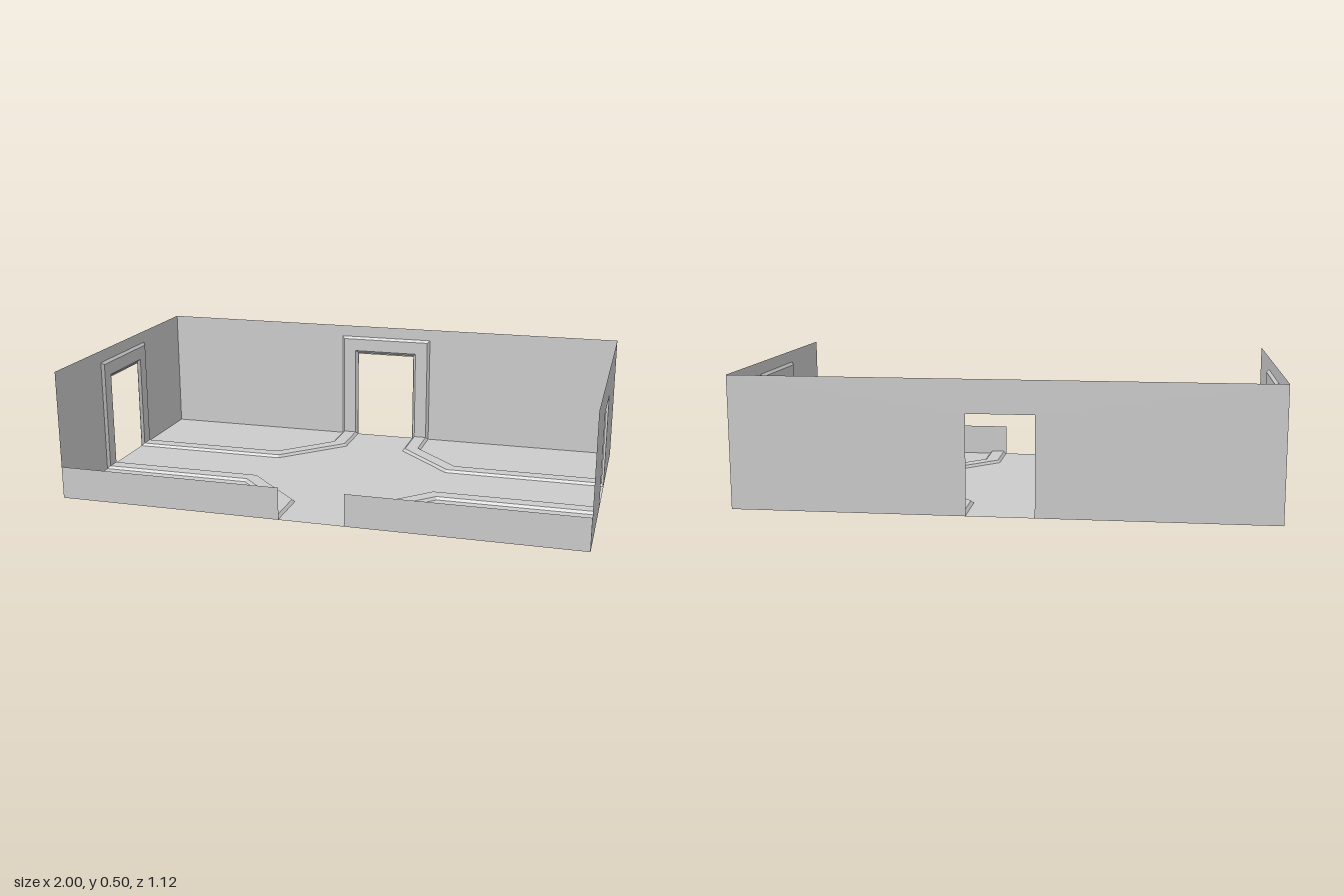
import * as THREE from 'three';

const X = 1, Z = 0.56, WALL = 0.5, LOW = 0.125, DOOR_W = 0.125, DOOR_H = 0.375;
const material = new THREE.MeshStandardMaterial({ color: 0xcccccc, flatShading: true, side: THREE.DoubleSide });

function mesh(name, geometry) {
  const m = new THREE.Mesh(geometry, material);
  m.name = name;
  return m;
}

// Flat wall with a doorway cut up from the floor
function doorWall(half) {
  const s = new THREE.Shape([
    [-half, 0], [-DOOR_W, 0], [-DOOR_W, DOOR_H], [DOOR_W, DOOR_H],
    [DOOR_W, 0], [half, 0], [half, WALL], [-half, WALL],
  ].map(([x, y]) => new THREE.Vector2(x, y)));
  return new THREE.ShapeGeometry(s);
}

// Bevelled moulding swept along a 2D path with mitred corners, spreading to the path's left
function moulding(path) {
  const profile = [[0, 0], [0.01, 0.01], [0.062, 0.01], [0.072, 0]];
  const pts = path.map(([x, y]) => new THREE.Vector2(x, y));
  const normals = pts.slice(1).map((p, i) => {
    const d = p.clone().sub(pts[i]).normalize();
    return new THREE.Vector2(-d.y, d.x);
  });
  const position = [], index = [], n = profile.length;
  pts.forEach((p, i) => {
    const a = normals[Math.max(i - 1, 0)], b = normals[Math.min(i, normals.length - 1)];
    const miter = a.clone().add(b).divideScalar(1 + a.dot(b));
    for (const [offset, height] of profile) {
      position.push(p.x + miter.x * offset, p.y + miter.y * offset, height);
    }
    if (i === 0) return;
    for (let j = 0; j < n - 1; j++) {
      const q = (i - 1) * n + j;
      index.push(q, q + n, q + 1, q + 1, q + n, q + n + 1);
    }
  });
  const g = new THREE.BufferGeometry();
  g.setAttribute('position', new THREE.Float32BufferAttribute(position, 3));
  g.setIndex(index);
  g.computeVertexNormals();
  return g;
}

export function createModel() {
  const room = new THREE.Group();
  room.name = 'room';

  room.add(mesh('floor', new THREE.PlaneGeometry(2 * X, 2 * Z).rotateX(-Math.PI / 2)));

  // Three full walls, each with a framed doorway facing inward
  const frame = moulding([[-0.127, 0], [-0.127, 0.38], [0.127, 0.38], [0.127, 0]]);
  for (const [name, x, z, turn, half] of [
    ['back', 0, -Z, 0, X],
    ['right', -X, 0, Math.PI / 2, Z],
    ['left', X, 0, -Math.PI / 2, Z],
  ]) {
    const side = new THREE.Group();
    side.name = name + 'Side';
    side.add(mesh(name + 'Wall', doorWall(half)), mesh(name + 'DoorFrame', frame));
    side.position.set(x, 0, z);
    side.rotation.y = turn;
    room.add(side);
  }

  // Low front wall in two halves with an opening between
  for (const s of [-1, 1]) {
    const w = mesh(s < 0 ? 'frontWallRight' : 'frontWallLeft', new THREE.PlaneGeometry(X - DOOR_W, LOW));
    w.position.set(s * (X + DOOR_W) / 2, LOW / 2, Z);
    room.add(w);
  }

  // Floor mouldings that turn each corner of the crossing paths
  for (const sx of [-1, 1]) for (const sz of [-1, 1]) {
    const path = [[0.127, Z], [0.127, 0.362], [0.362, 0.127], [X, 0.127]].map(([x, y]) => [x * sx, y * sz]);
    if (sx * sz < 0) path.reverse();
    const name = 'floorMoulding' + (sz > 0 ? 'Back' : 'Front') + (sx > 0 ? 'Left' : 'Right');
    room.add(mesh(name, moulding(path).rotateX(-Math.PI / 2)));
  }
  return room;
}
